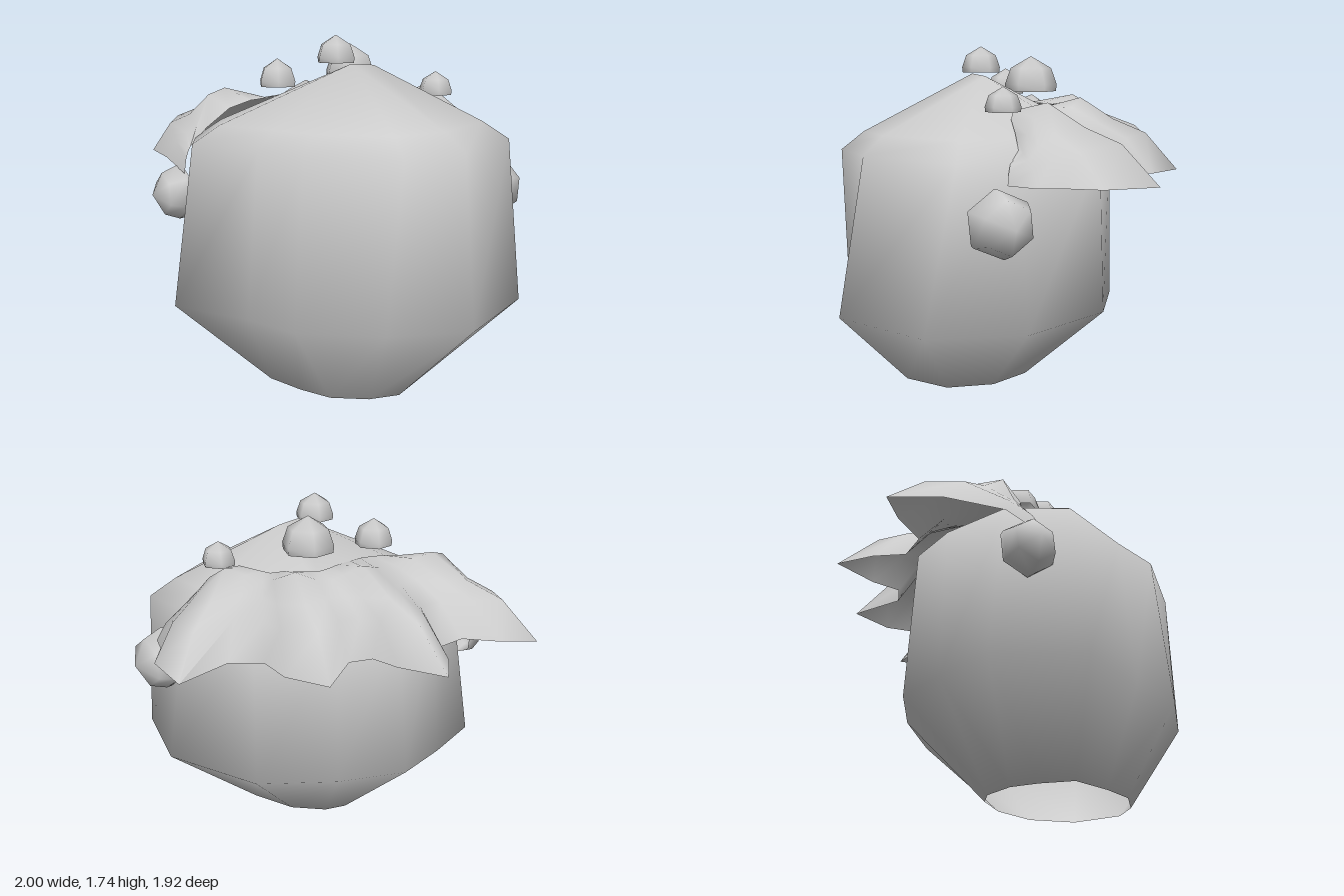
import * as THREE from 'three';
import { toCreasedNormals } from 'three/addons/utils/BufferGeometryUtils.js';

// Skin a list of rows of [x, y, z] points, smooth up to the crease angle
function skin(rows, closed, crease) {
  const n = rows[0].length, index = [];
  for (let r = 0; r < rows.length - 1; r++) {
    for (let i = 0; i < (closed ? n : n - 1); i++) {
      const j = (i + 1) % n;
      const a = r * n + i, b = r * n + j, c = a + n, d = b + n;
      index.push(a, c, b, b, c, d);
    }
  }
  const g = new THREE.BufferGeometry();
  g.setAttribute('position', new THREE.Float32BufferAttribute(rows.flat(2), 3));
  g.setIndex(index);
  return toCreasedNormals(g, crease);
}

// Body outlines as [x, z], from the left side round by the front
const FOOT = [[0.6, 0.15], [0.55, 0.3], [0.42, 0.44], [0.25, 0.5], [0.04, 0.54], [-0.08, 0.42],
  [-0.16, 0.3], [-0.18, 0.13], [-0.13, 0.02], [0.02, -0.1], [0.25, -0.16], [0.48, -0.08]];
const BELLY = [[1, 0.05], [0.81, 0.41], [0.52, 0.71], [0.23, 0.78], [-0.17, 0.96], [-0.54, 0.73],
  [-0.6, 0.4], [-0.63, 0.1], [-0.45, -0.22], [-0.18, -0.53], [0.35, -0.67], [0.79, -0.48]];
const SHOULDER = [[0.87, 0], [0.85, 0.35], [0.5, 0.64], [0.23, 0.71], [-0.16, 0.84], [-0.42, 0.68],
  [-0.55, 0.35], [-0.57, 0.07], [-0.43, -0.22], [-0.16, -0.51], [0.32, -0.55], [0.64, -0.53]];

// Leaf columns from back to front: outer x, z, inner x, z, inner y, ridge weight
const LEAF = [
  [0.4, -0.57, 0.35, -0.53, 1.23, 0], [0.33, -0.72, 0.3, -0.5, 1.26, 0.1],
  [0.23, -0.77, 0.27, -0.42, 1.33, 0.3], [0.1, -0.9, 0.24, -0.33, 1.39, 0.6],
  [-0.17, -0.96, 0.2, -0.28, 1.43, 1], [-0.14, -0.65, 0.12, -0.27, 1.43, 0.4],
  [-0.26, -0.53, 0.05, -0.26, 1.43, 0.1], [-0.44, -0.57, 0, -0.25, 1.43, 0.5],
  [-0.66, -0.5, -0.05, -0.2, 1.44, 1], [-0.53, -0.24, -0.13, -0.13, 1.44, 0.2],
  [-0.58, -0.13, -0.17, -0.08, 1.44, 0.1], [-0.73, -0.12, -0.17, -0.02, 1.44, 0.5],
  [-0.96, -0.04, -0.16, 0.05, 1.44, 1], [-0.84, 0.12, -0.16, 0.15, 1.44, 0.5],
  [-0.71, 0.22, -0.16, 0.23, 1.44, 0.1], [-0.72, 0.38, -0.16, 0.32, 1.43, 0.1],
  [-0.88, 0.49, -0.17, 0.4, 1.42, 0.6], [-1, 0.62, -0.2, 0.48, 1.41, 1.1],
  [-0.79, 0.75, -0.26, 0.57, 1.37, 1.2], [-0.5, 0.81, -0.34, 0.66, 1.27, 0.2],
  [-0.31, 0.81, -0.35, 0.74, 1.19, 0]];
const DROP = [0, 0.08, 0.23, 0.48, 1];      // fall from inner edge to rim
const RIDGE = [0, 0.07, 0.01, 0.02, 0];     // extra height along each point

// Berries: base centre, direction, radius, height
const BERRIES = [
  [[0.125, 1.605, 0.18], [0, 1, 0], 0.1, 0.135],
  [[-0.13, 1.48, 0.36], [0, 1, 0], 0.1, 0.14],
  [[-0.05, 1.51, -0.04], [0, 1, 0], 0.135, 0.18],
  [[0.29, 1.43, -0.34], [0, 1, 0], 0.088, 0.12],
  [[0.45, 0.94, -0.56], [0.1, 0, -1], 0.165, 0.21],
  [[-0.38, 0.945, 0.78], [-0.1, 0, 1], 0.137, 0.17]];

export function createModel() {
  const model = new THREE.Group();
  const mat = new THREE.MeshStandardMaterial({ color: 0xcccccc, side: THREE.DoubleSide });
  const add = (name, geometry) => {
    const mesh = new THREE.Mesh(geometry, mat);
    mesh.name = name;
    model.add(mesh);
    return mesh;
  };

  // Body: hollow shell, open at the foot, rising to a short ridge on top
  const level = (ring, y) => ring.map(([x, z]) => [x, y, z]);
  const shrink = (s) => SHOULDER.map(([x, z]) => [0.2 + (x - 0.2) * s, 0.14 + (z - 0.14) * s]);
  const peak = SHOULDER.map(([, z]) => [0.2, z < 0 ? 1.59 : 1.6, z < 0 ? 0 : 0.14]);
  add('body', skin([level(FOOT, 0), level(BELLY, 0.42), level(SHOULDER, 1.22),
    level(shrink(0.83), 1.31), peak], true, 1.5));

  // Pointed leaf collar draped over the right and back
  const leafRows = DROP.map((drop, r) => LEAF.map(([ox, oz, ix, iz, iy, ridge], i) => {
    const t = r / (DROP.length - 1);
    const rim = i === LEAF.length - 1 ? 1.05 : 1.11;
    return [ix + (ox - ix) * t, iy + (rim - iy) * drop + RIDGE[r] * ridge, iz + (oz - iz) * t];
  }));
  add('leafCollar', skin(leafRows, false, 1.6));

  // Berries: pointed six-sided domes, open underneath
  const up = new THREE.Vector3(0, 1, 0);
  BERRIES.forEach(([pos, dir, r, h], i) => {
    const profile = [[r * 0.97, 0], [r, h * 0.2], [r * 0.78, h * 0.66], [0, h]]
      .map(([x, y]) => new THREE.Vector2(x, y));
    const dome = toCreasedNormals(new THREE.LatheGeometry(profile, 6), 1.15);
    const berry = add('berry' + (i + 1), dome);
    berry.position.set(...pos);
    berry.quaternion.setFromUnitVectors(up, new THREE.Vector3(...dir).normalize());
  });
  return model;
}
